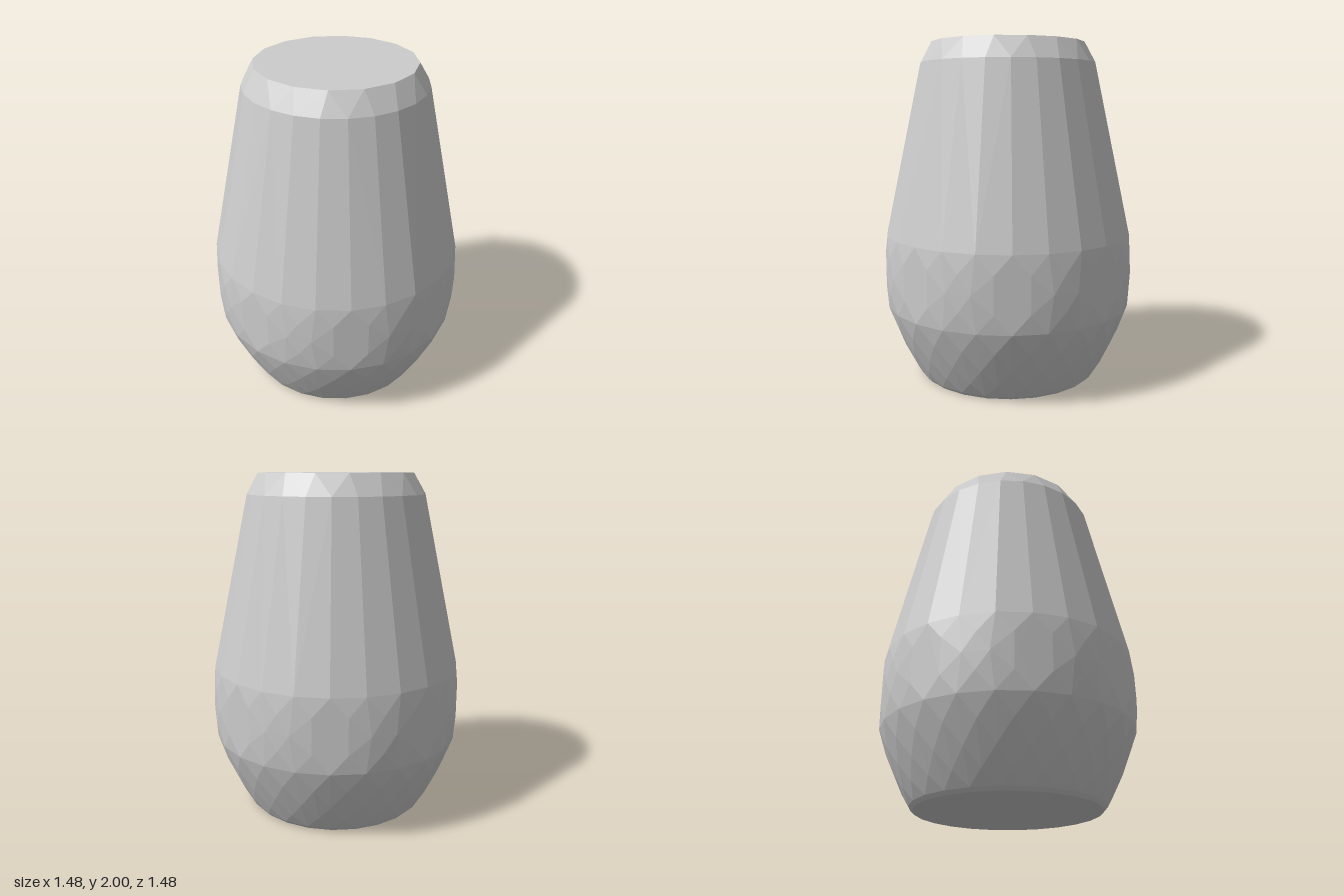
import * as THREE from 'three';
import { ConvexGeometry } from 'three/addons/geometries/ConvexGeometry.js';

// Rings from base to top: height, radius, corners, twist in steps
const RINGS = [
  [0, 0.53, 24, 0], [0.02, 0.55, 24, 0], [0.1, 0.595, 24, 0.5],
  [0.2, 0.645, 24, 0], [0.32, 0.697, 24, 0.5], [0.44, 0.739, 24, 0],
  [0.55, 0.749, 24, 0.5], [0.65, 0.753, 32, 0.5], [0.76, 0.749, 24, 0.5],
  [0.87, 0.74, 24, 0], [1.88, 0.521, 24, 0], [2, 0.454, 16, 0.5],
];
const FLAT = 0.739; // distance of the eight flat side facets from the axis

// Press a point back onto any flat facet it sticks out of
function pressFlat(p) {
  for (let i = 0; i < 8; i++) {
    const a = (i * Math.PI) / 4;
    const n = new THREE.Vector3(Math.sin(a), 0, Math.cos(a));
    const excess = p.dot(n) - FLAT;
    if (excess > 0) p.addScaledVector(n, -excess);
  }
  return p;
}

export function createModel() {
  const group = new THREE.Group();
  group.name = 'facetedVessel';

  // Solid body: convex skin over the staggered rings
  const points = [];
  for (const [y, r, sides, twist] of RINGS) {
    for (let i = 0; i < sides; i++) {
      const a = ((i + twist) / sides) * Math.PI * 2;
      points.push(pressFlat(new THREE.Vector3(r * Math.sin(a), y, r * Math.cos(a))));
    }
  }
  const body = new THREE.Mesh(
    new ConvexGeometry(points),
    new THREE.MeshStandardMaterial({ color: 0xcccccc, flatShading: true })
  );
  body.name = 'body';
  group.add(body);
  return group;
}
